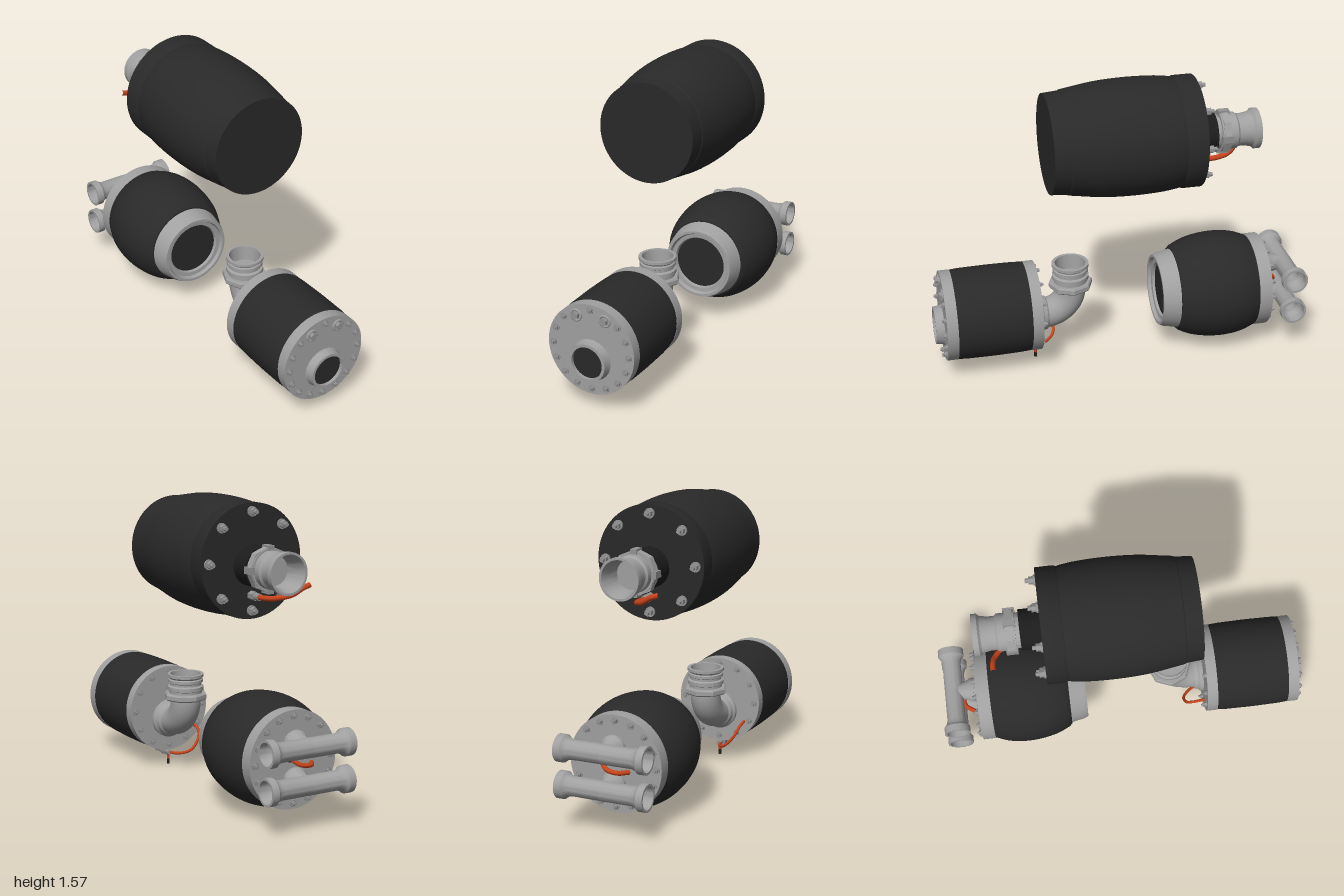
import * as THREE from 'three';
import { toCreasedNormals } from 'three/addons/utils/BufferGeometryUtils.js';

const mat = (name, color) => {
  const m = new THREE.MeshStandardMaterial({ color });
  m.name = name;
  return m;
};

export function createModel() {
  const root = new THREE.Group();
  root.name = 'pumpSet';
  const black = mat('blackCasing', 0x292929);
  const rubber = mat('blackRubber', 0x1c1c1c);
  const steel = mat('castSteel', 0xa0a0a0);
  const bolt = mat('boltSteel', 0x929292);
  const orange = mat('orangeCable', 0xc8441c);

  const add = (parent, name, geo, material, x = 0, y = 0, z = 0) => {
    const m = new THREE.Mesh(geo, material);
    m.name = name;
    m.position.set(x, y, z);
    parent.add(m);
    return m;
  };
  const group = (name, x, y, z) => {
    const g = new THREE.Group();
    g.name = name;
    g.position.set(x, y, z);
    root.add(g);
    return g;
  };
  // Turned part: [radius, height] pairs in rising height outside, falling height inside
  const turned = (pts, seg = 64) =>
    toCreasedNormals(new THREE.LatheGeometry(pts.map(p => new THREE.Vector2(...p)), seg), 0.45);
  const alongZ = (pts, seg) => turned(pts, seg).rotateX(Math.PI / 2);
  const cylZ = (r, z0, z1, seg = 32) => alongZ([[0, z0], [r, z0], [r, z1], [0, z1]], seg);
  const tube = (pts, r) => new THREE.TubeGeometry(
    new THREE.CatmullRomCurve3(pts.map(p => new THREE.Vector3(...p))), 40, r, 10);
  const smooth = (pts, n) =>
    new THREE.SplineCurve(pts.map(p => new THREE.Vector2(...p))).getPoints(n).map(p => [p.x, p.y]);

  // Ring of hex bolts: washer, nut and stud, pointing along dir (+1 or -1) in z
  const boltRing = (parent, n, radius, z, dir, size, h, skip = []) => {
    for (let i = 0; i < n; i++) {
      if (skip.includes(i)) continue;
      const a = Math.PI / 2 + (i / n) * Math.PI * 2;
      const g = new THREE.Group();
      g.name = 'bolt';
      g.position.set(Math.cos(a) * radius, Math.sin(a) * radius, z);
      if (dir < 0) g.rotation.y = Math.PI;
      add(g, 'washer', cylZ(size * 1.3, -0.002, h * 0.2, 16), bolt);
      add(g, 'nut', cylZ(size, 0, h * 0.65, 6), bolt);
      add(g, 'stud', cylZ(size * 0.55, 0, h, 10), bolt);
      parent.add(g);
    }
  };

  // ---- Upper pump ----
  const top = group('upperPump', 0, 1.263, 0);
  add(top, 'upperCasing', alongZ([
    [0, -0.408], [0.294, -0.408], [0.294, -0.315], [0.288, -0.3],
    ...smooth([[0.292, -0.285], [0.302, -0.2], [0.306, -0.05], [0.299, 0.1], [0.282, 0.22], [0.272, 0.285]], 18),
    [0.268, 0.29], [0.261, 0.377], [0, 0.377]], 80), black);
  boltRing(top, 8, 0.25, -0.408, -1, 0.02, 0.052);
  const outlet = group('upperOutlet', 0, 1.242, 0);
  add(outlet, 'rubberNeck', cylZ(0.104, -0.515, -0.4, 48), rubber);
  add(outlet, 'coupling', alongZ([
    [0.095, -0.75], [0.107, -0.75], [0.107, -0.722], [0.094, -0.71], [0.086, -0.67], [0.086, -0.635],
    [0.096, -0.625], [0.096, -0.587], [0.107, -0.587], [0.107, -0.537], [0.09, -0.537], [0.09, -0.505],
    [0, -0.505], [0, -0.62], [0.076, -0.62], [0.078, -0.69], [0.095, -0.75]], 48), steel);
  add(outlet, 'hexCollar', cylZ(0.118, -0.582, -0.545, 8), steel);
  for (let i = 0; i < 4; i++) {
    const a = i * Math.PI / 2;
    add(outlet, 'collarLug', new THREE.BoxGeometry(0.035, 0.035, 0.06),
      bolt, Math.cos(a) * 0.103, Math.sin(a) * 0.103, -0.562);
  }
  const gland = group('upperCableGland', 0, 1.09, 0);
  add(gland, 'glandNut', cylZ(0.024, -0.45, -0.405, 6), bolt);
  add(gland, 'glandSleeve', cylZ(0.018, -0.49, -0.44, 16), bolt);
  add(root, 'upperCable', tube([[0, 1.09, -0.47], [0, 1.092, -0.53], [-0.02, 1.1, -0.6],
    [-0.08, 1.12, -0.655], [-0.13, 1.15, -0.67], [-0.175, 1.165, -0.67]], 0.014), orange);

  // ---- Lower front pump ----
  const front = group('frontPump', 0, 0.325, 0);
  add(front, 'frontCasing', alongZ([
    [0, 0.5], [0.238, 0.5], [0.242, 0.56], [0.244, 0.7], [0.242, 0.85], [0.238, 0.9], [0, 0.9]]), black);
  add(front, 'frontFlange', cylZ(0.24, 0.897, 0.955, 64), steel);
  add(front, 'rearFlange', cylZ(0.24, 0.448, 0.505, 64), steel);
  boltRing(front, 16, 0.211, 0.955, 1, 0.014, 0.02, [1, 15]);
  boltRing(front, 12, 0.21, 0.448, -1, 0.013, 0.022);
  for (const s of [-1, 1]) {
    add(front, 'plugRing', new THREE.TorusGeometry(0.028, 0.006, 8, 24), steel, s * 0.08, 0.17, 0.956);
    add(front, 'plug', cylZ(0.02, 0.95, 0.975, 6), bolt, s * 0.08, 0.17, 0);
  }
  // Suction boss
  const boss = group('frontBoss', 0, 0.27, 0);
  add(boss, 'bossRing', alongZ([[0.112, 0.95], [0.104, 0.965], [0.1, 1], [0.085, 1], [0.085, 0.95]], 48), steel);
  add(boss, 'bossBore', cylZ(0.086, 0.95, 0.982, 48), black);
  // Discharge elbow turning upward
  const bend = new THREE.CurvePath();
  const v = (y, z) => new THREE.Vector3(0, y, z);
  bend.add(new THREE.LineCurve3(v(0.27, 0.46), v(0.27, 0.41)));
  bend.add(new THREE.CubicBezierCurve3(v(0.27, 0.41), v(0.27, 0.325), v(0.335, 0.26), v(0.41, 0.26)));
  bend.add(new THREE.LineCurve3(v(0.41, 0.26), v(0.45, 0.26)));
  add(root, 'elbow', new THREE.TubeGeometry(bend, 40, 0.082, 32), steel);
  add(root, 'elbowBase', alongZ([[0.08, 0.39], [0.09, 0.4], [0.096, 0.42], [0.106, 0.43], [0.106, 0.455]], 48),
    steel, 0, 0.27, 0);
  add(root, 'elbowNut', turned([[0, 0.418], [0.112, 0.418], [0.118, 0.425], [0.118, 0.447], [0.112, 0.455], [0, 0.455]], 8),
    steel, 0, 0, 0.26);
  add(root, 'elbowCoupling', turned([
    [0.09, 0.45], [0.09, 0.468], [0.098, 0.472], [0.098, 0.492], [0.085, 0.498], [0.085, 0.51],
    [0.095, 0.515], [0.095, 0.53], [0.088, 0.535], [0.099, 0.545], [0.099, 0.56],
    [0.082, 0.56], [0.076, 0.48], [0, 0.48]], 48), steel, 0, 0, 0.26);
  // Power cable and gland below the casing
  add(root, 'cableGland', alongZ([
    [0, 0.44], [0.014, 0.44], [0.014, 0.48], [0.022, 0.48], [0.022, 0.515], [0.015, 0.52],
    [0.015, 0.55], [0.02, 0.55], [0.02, 0.585], [0, 0.585]], 16), bolt, 0, 0.068, 0);
  add(root, 'frontCable', tube([[-0.15, 0.215, 0.45], [-0.15, 0.2, 0.385], [-0.13, 0.15, 0.35],
    [-0.08, 0.095, 0.345], [-0.03, 0.072, 0.39], [0, 0.068, 0.46]], 0.008), orange);
  add(root, 'cableTail', tube([[0, 0.065, 0.46], [0, 0.045, 0.46], [0, 0.025, 0.46]], 0.008), orange);
  add(root, 'cableTip', new THREE.CylinderGeometry(0.008, 0.008, 0.03, 12), rubber, 0, 0.015, 0.46);

  // ---- Lower rear pump ----
  const rear = group('rearPump', 0, 0.33, 0);
  add(rear, 'rearCasing', alongZ([[0, -0.735], [0.248, -0.735],
    ...smooth([[0.25, -0.73], [0.276, -0.66], [0.288, -0.57], [0.284, -0.48], [0.266, -0.39], [0.236, -0.32]], 20),
    [0.222, -0.305], [0, -0.305]], 80), black);
  add(rear, 'inletSkirt', alongZ([[0.222, -0.32], [0.215, -0.305], [0.202, -0.235], [0.192, -0.212],
    [0.178, -0.212], [0.17, -0.23], [0.148, -0.232], [0.14, -0.25], [0.14, -0.32]]), steel);
  add(rear, 'inletBore', cylZ(0.142, -0.32, -0.245, 48), black);
  add(rear, 'backFlange', cylZ(0.252, -0.802, -0.732, 64), steel);
  boltRing(rear, 16, 0.222, -0.802, -1, 0.014, 0.026);
  // Two crosswise manifold pipes on stubs
  const half = [[0.05, 0], [0.05, 0.165], [0.057, 0.19], [0.07, 0.205], [0.07, 0.242],
    [0.058, 0.242], [0.056, 0.2], [0.04, 0.17], [0.04, 0]];
  for (const y of [0.42, 0.232]) {
    const pipe = group('manifoldPipe', 0, y, -0.93);
    for (const s of [-1, 1])
      add(pipe, 'pipeHalf', turned(half, 40).rotateZ(-s * Math.PI / 2), steel);
    add(pipe, 'pipeStub', alongZ([[0.04, 0], [0.045, 0.04], [0.055, 0.075], [0.066, 0.095],
      [0.066, 0.11], [0.056, 0.11], [0.056, 0.135]], 40), steel);
  }
  // Control cable between the pipes
  add(rear, 'rearCableGland', cylZ(0.02, -0.84, -0.795, 12), rubber, 0.04, 0.02, 0);
  add(root, 'rearCable', tube([[0.04, 0.35, -0.82], [0.04, 0.348, -0.855],
    [0.01, 0.325, -0.88], [-0.05, 0.315, -0.88], [-0.09, 0.31, -0.83]], 0.012), orange);

  return root;
}
